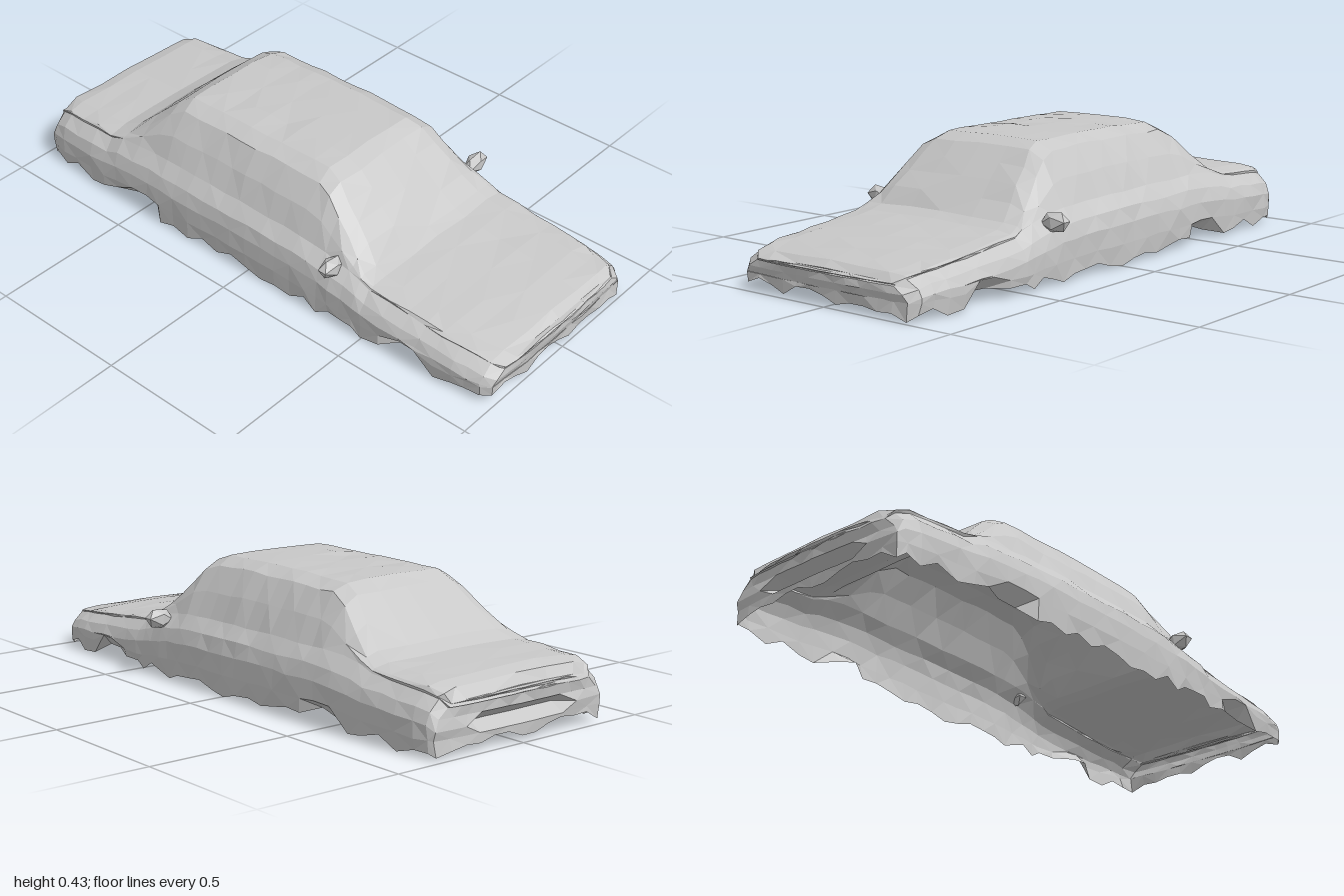
import * as THREE from 'three';

// Key stations from nose to tail: z, half width, shoulder height, half width of top, top height
const STATIONS = [
  [0.985, 0.335, 0.115, 0.28, 0.125],
  [0.955, 0.36, 0.135, 0.30, 0.145],
  [0.85, 0.375, 0.15, 0.32, 0.162],
  [0.65, 0.382, 0.165, 0.32, 0.183],
  [0.5, 0.385, 0.185, 0.32, 0.2],
  [0.46, 0.385, 0.2, 0.315, 0.217],
  [0.36, 0.385, 0.225, 0.285, 0.318],
  [0.26, 0.385, 0.24, 0.255, 0.413],
  [0.2, 0.385, 0.245, 0.245, 0.433],
  [0, 0.385, 0.25, 0.245, 0.437],
  [-0.4, 0.385, 0.25, 0.245, 0.431],
  [-0.46, 0.382, 0.25, 0.255, 0.4],
  [-0.62, 0.38, 0.235, 0.305, 0.26],
  [-0.68, 0.38, 0.215, 0.32, 0.236],
  [-0.9, 0.37, 0.2, 0.315, 0.226],
  [-0.95, 0.36, 0.185, 0.3, 0.213],
  [-0.972, 0.345, 0.16, 0.28, 0.18],
];
const SHIFT = -0.012; // body sits slightly off centre
const STEP = 0.065;
const ARCHES = [0.68, -0.51];

// Small seeded noise in -1..1
function makeNoise(seed) {
  let s = seed;
  return () => {
    s = (s * 16807) % 2147483647;
    return (s / 2147483647) * 2 - 1;
  };
}

// Subdivide the key stations evenly
function fineStations() {
  const out = [];
  for (let i = 0; i < STATIONS.length - 1; i++) {
    const a = STATIONS[i], b = STATIONS[i + 1];
    const n = Math.max(1, Math.round((a[0] - b[0]) / STEP));
    for (let k = 0; k < n; k++) out.push(a.map((v, j) => v + (b[j] - v) * k / n));
  }
  out.push(STATIONS[STATIONS.length - 1]);
  return out;
}

// One open cross-section, from the +x sill over the top to the -x sill
function section([z, w, belt, topW, top], noise) {
  const arch = ARCHES.some(a => Math.abs(z - a) < 0.08);
  const side = sx => {
    const sill = arch ? 0.055 + noise() * 0.015 : 0.034 + noise() * 0.02;
    const edge = top - Math.min(0.025, (top - belt) * 0.4);
    const pts = [
      [w - (arch ? 0.04 : 0.004), sill],
      [w, arch ? 0.095 : Math.max(0.07, belt * 0.36)],
      [w, belt * 0.62],
      [w - 0.014, belt * 0.82],
      [w - 0.05, belt],
      [(w - 0.05 + topW) / 2 + 0.006, (belt + edge) / 2],
      [topW, edge],
      [topW - 0.055, top],
      [topW * 0.42, top + 0.003],
    ];
    return pts.map(([x, y], i) => new THREE.Vector3(
      sx * (x + noise() * 0.003) + SHIFT,
      y + (i ? noise() * 0.003 : 0),
      z + noise() * 0.006));
  };
  return [...side(1), new THREE.Vector3(SHIFT, top + 0.005, z), ...side(-1).reverse()];
}

// Surface through rows of points
function loft(rows) {
  const n = rows[0].length, pos = [], index = [];
  rows.forEach(r => r.forEach(p => pos.push(p.x, p.y, p.z)));
  for (let i = 0; i < rows.length - 1; i++) {
    for (let j = 0; j < n - 1; j++) {
      const a = i * n + j, b = a + 1, c = a + n, d = c + 1;
      if ((i + j) % 2) index.push(a, b, c, b, d, c);
      else index.push(a, b, d, a, d, c);
    }
  }
  const g = new THREE.BufferGeometry();
  g.setAttribute('position', new THREE.Float32BufferAttribute(pos, 3));
  g.setIndex(index);
  g.computeVertexNormals();
  return g;
}

// Panel closing one end: joins the two sides of a section, shaped by depth(x, y)
function endPanel(sec, dir, depth, noise) {
  const cols = 12, last = sec.length - 1, rows = [];
  for (let i = 0; i <= last / 2; i++) {
    const row = [];
    for (let k = 0; k <= cols; k++) {
      const p = sec[i].clone().lerp(sec[last - i], k / cols);
      if (k > 0 && k < cols) {
        if (i === 0) p.y = 0.04 + noise() * 0.02;
        if (i < 8) p.z += dir * depth(p.x - SHIFT, p.y) + noise() * 0.003;
      }
      row.push(p);
    }
    rows.push(dir > 0 ? row.reverse() : row);
  }
  return loft(rows);
}

export function createModel() {
  const model = new THREE.Group();
  const paint = new THREE.MeshStandardMaterial({ color: 0xc8c8c8, flatShading: true, side: THREE.DoubleSide });
  paint.name = 'plain grey';
  const noise = makeNoise(4711);
  const add = (name, geometry) => {
    const mesh = new THREE.Mesh(geometry, paint);
    mesh.name = name;
    model.add(mesh);
    return mesh;
  };

  // Hollow body: bonnet, cabin and boot in one skin, open underneath
  const sections = fineStations().map(s => section(s, noise));
  add('bodyShell', loft(sections));

  // Nose with a slight bulge
  add('nosePanel', endPanel(sections[0], 1, x => 0.01 * (1 - (x / 0.34) ** 2), noise));

  // Tail with a shallow recess above the bumper
  add('tailPanel', endPanel(sections[sections.length - 1], -1, (x, y) => {
    const recessed = Math.abs(x) < 0.19 && y > 0.085 && y < 0.125;
    return recessed ? -0.04 : 0.012 * (1 - (x / 0.35) ** 2);
  }, noise));

  // Door mirrors
  for (const [name, sx] of [['leftMirror', 1], ['rightMirror', -1]]) {
    const mirror = add(name, new THREE.IcosahedronGeometry(1, 0));
    mirror.scale.set(0.055, 0.036, 0.03);
    mirror.position.set(sx * 0.37, 0.216, 0.357);
    mirror.rotation.z = sx * 0.12;
  }
  return model;
}
